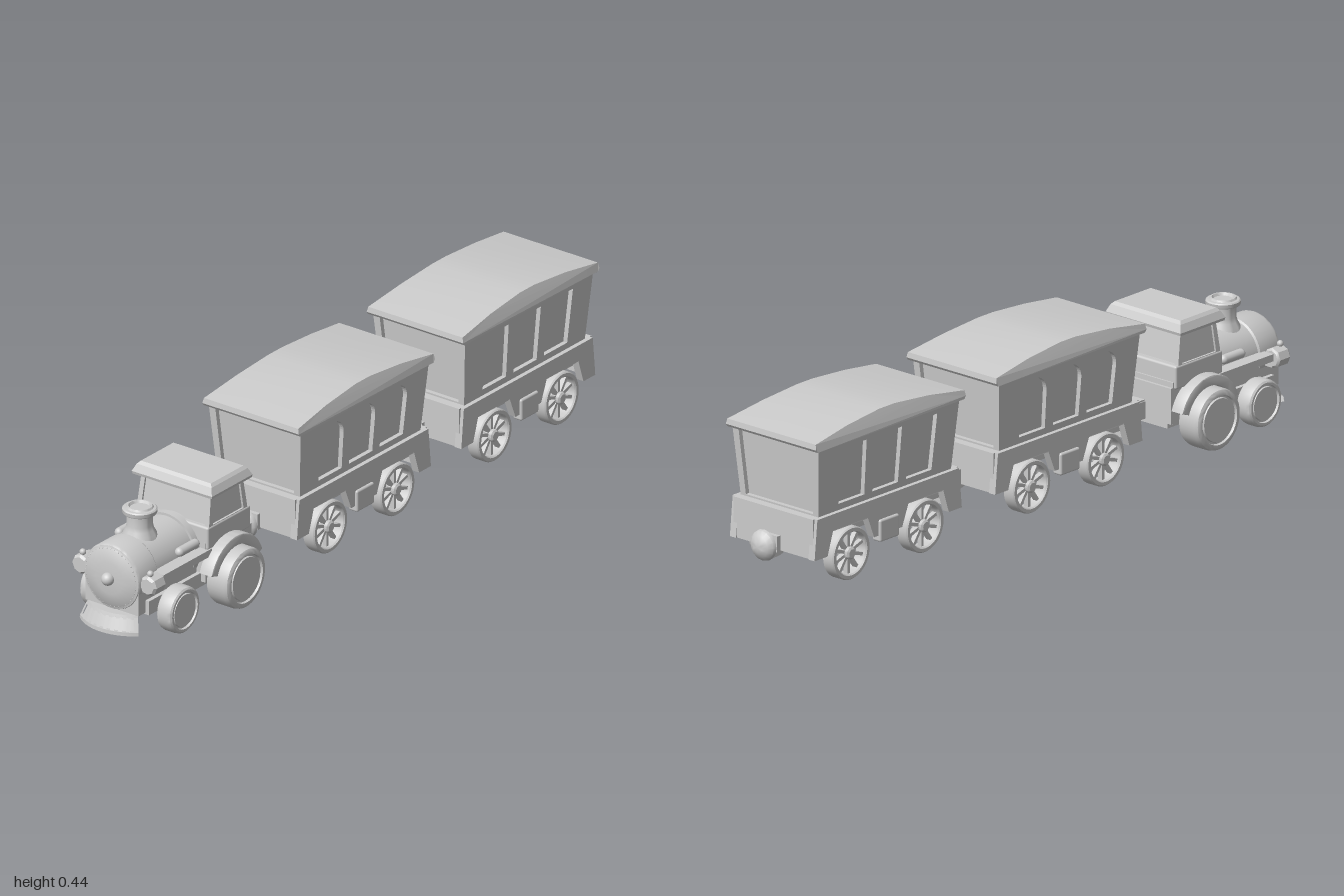
import * as THREE from 'three';
import { toCreasedNormals } from 'three/addons/utils/BufferGeometryUtils.js';
import { RoundedBoxGeometry } from 'three/addons/geometries/RoundedBoxGeometry.js';

const grey = new THREE.MeshStandardMaterial({ color: 0xcccccc, side: THREE.DoubleSide });
const lerp = THREE.MathUtils.lerp;

function add(parent, name, geometry, x = 0, y = 0, z = 0) {
  const mesh = new THREE.Mesh(geometry, grey);
  mesh.name = name;
  mesh.position.set(x, y, z);
  parent.add(mesh);
  return mesh;
}
const box = (w, h, d) => new THREE.BoxGeometry(w, h, d);
const crease = (g, a = 0.6) => toCreasedNormals(g, a);
const lathe = (pts, seg = 32, start = 0, len = Math.PI * 2) =>
  crease(new THREE.LatheGeometry(pts.map(p => new THREE.Vector2(...p)), seg, start, len));
const latheX = (pts, seg) => lathe(pts, seg).rotateZ(-Math.PI / 2);
const latheZ = (pts, seg) => lathe(pts, seg).rotateX(Math.PI / 2);
const polygon = pts => new THREE.Shape(pts.map(p => new THREE.Vector2(...p)));

// Box whose top half-sizes differ from its bottom ones
function frustum(x0, z0, x1, z1, y0, y1) {
  const g = box(2, y1 - y0, 2).translate(0, (y0 + y1) / 2, 0), p = g.attributes.position;
  for (let i = 0; i < p.count; i++) {
    const top = p.getY(i) > (y0 + y1) / 2;
    p.setX(i, p.getX(i) * (top ? x1 : x0));
    p.setZ(i, p.getZ(i) * (top ? z1 : z0));
  }
  g.computeVertexNormals();
  return g;
}

// Window opening, optionally round-headed
function opening(cx, w, y0, y1, arched) {
  const h = new THREE.Path(), r = w / 2;
  h.moveTo(cx - r, y0).lineTo(cx + r, y0);
  if (arched) h.lineTo(cx + r, y1 - r).absarc(cx, y1 - r, r, 0, Math.PI, false);
  else h.lineTo(cx + r, y1).lineTo(cx - r, y1);
  h.closePath();
  return h;
}

// Leaning wall with openings, facing +z
function wall(w0, w1, out0, out1, y0, y1, holes, t) {
  const s = polygon([[-w0, y0], [w0, y0], [w0, y1], [-w0, y1]]);
  s.holes = holes;
  const g = new THREE.ExtrudeGeometry(s, { depth: t, bevelEnabled: false, curveSegments: 10 });
  const p = g.attributes.position;
  for (let i = 0; i < p.count; i++) {
    const f = (p.getY(i) - y0) / (y1 - y0);
    p.setX(i, p.getX(i) * lerp(1, w1 / w0, f));
    p.setZ(i, p.getZ(i) - t + lerp(out0, out1, f));
  }
  g.computeVertexNormals();
  return g;
}

// Four framed walls around recessed panes
function cabin(parent, [x0, z0], [x1, z1], y0, y1, sideHoles, endHoles, t) {
  add(parent, 'panes', frustum(x0 - t, z0 - t, x1 - t, z1 - t, y0, y1));
  for (const k of [0, 1]) {
    add(parent, 'sideWall', wall(z0, z1, x0, x1, y0, y1, sideHoles(), t)).rotation.y = Math.PI * (k + 0.5);
    add(parent, 'endWall', wall(x0, x1, z0, z1, y0, y1, endHoles(), t)).rotation.y = Math.PI * k;
  }
}

// Mushroom-headed coupler pointing along dir
function coupler(parent, z, dir) {
  const g = new THREE.Group();
  g.name = 'coupler';
  add(g, 'couplerMount', box(0.05, 0.045, 0.024), 0, 0, 0.006);
  add(g, 'couplerHead', latheZ([[0.012, 0], [0.012, 0.044], [0.043, 0.041], [0.041, 0.05],
    [0.03, 0.061], [0.015, 0.068], [0, 0.07]], 16));
  g.position.set(0, 0.107, z);
  if (dir < 0) g.rotation.y = Math.PI;
  parent.add(g);
}

function spokedWheel(parent, side, z) {
  const g = new THREE.Group();
  g.name = 'spokedWheel';
  add(g, 'rim', latheX([[0.073, -0.018], [0.073, 0.014], [0.07, 0.018], [0.061, 0.018], [0.058, 0.014],
    [0.058, -0.018], [0.073, -0.018]], 36));
  add(g, 'hub', latheX([[0, -0.018], [0.017, -0.018], [0.017, 0.016], [0.012, 0.02], [0, 0.02]], 16));
  for (let i = 0; i < 5; i++)
    add(g, 'spoke', box(0.014, 0.12, 0.009)).rotation.x = i * Math.PI / 5;
  g.position.set(side * 0.134, 0.073, z);
  if (side < 0) g.rotation.y = Math.PI;
  parent.add(g);
}

function carriage(name, z, arched) {
  const g = new THREE.Group();
  g.name = name;
  g.position.z = z;
  cabin(g, [0.137, 0.26], [0.153, 0.277], 0.195, 0.4,
    () => [-0.131, 0, 0.131].map(c => opening(c, 0.1, 0.218, 0.375, arched)),
    () => [opening(0, 0.236, 0.205, 0.39)], 0.013);
  // Roof arched along the carriage, narrowing towards the crown
  const arch = [[0.288, 0.392], [0.294, 0.4], [0.292, 0.415], [0.16, 0.434], [0.03, 0.445]];
  const roof = new THREE.ExtrudeGeometry(polygon([...arch, ...arch.map(([a, b]) => [-a, b]).reverse()]),
    { depth: 0.32, bevelEnabled: false }).translate(0, 0, -0.16).rotateY(Math.PI / 2);
  const p = roof.attributes.position;
  for (let i = 0; i < p.count; i++)
    p.setX(i, p.getX(i) * (1 - 0.09 * Math.max(0, (p.getY(i) - 0.405) / 0.04)));
  add(g, 'roof', crease(roof.toNonIndexed(), 0.1));
  // Chassis with side skirts cut out over the wheels
  add(g, 'chassis', frustum(0.148, 0.283, 0.145, 0.276, 0.152, 0.2));
  add(g, 'underframe', box(0.2, 0.045, 0.54), 0, 0.135, 0);
  const half = [[0.278, 0.2], [0.289, 0.088], [0.238, 0.088], [0.216, 0.155], [0.08, 0.155], [0.055, 0.094]];
  const skirt = polygon([...half, ...half.map(([a, b]) => [-a, b]).reverse()]);
  for (const s of [-1, 1]) {
    const geo = new THREE.ExtrudeGeometry(skirt, { depth: 0.022, bevelEnabled: false });
    add(g, 'skirt', geo.translate(0, 0, -0.011).rotateY(Math.PI / 2), s * 0.139, 0, 0);
    add(g, 'sideBox', new RoundedBoxGeometry(0.03, 0.062, 0.076, 2, 0.006), s * 0.142, 0.107, 0);
    add(g, 'endBeam', box(0.28, 0.112, 0.014), 0, 0.144, s * 0.278);
    for (const w of [-0.145, 0.145]) spokedWheel(g, s, w);
    add(g, 'axle', new THREE.CylinderGeometry(0.012, 0.012, 0.25, 12).rotateZ(Math.PI / 2), 0, 0.073, s * 0.145);
    coupler(g, s * 0.279, s);
  }
  return g;
}

// Solid rounded tyre with a recessed disc
function engineWheel(parent, name, side, r, x, w, z) {
  const h = w / 2;
  const m = add(parent, name, latheX([[0, -h], [r * 0.9, -h], [r * 0.97, -h + 0.004], [r, -h + 0.012],
    [r, h - 0.014], [r * 0.97, h - 0.004], [r * 0.9, h], [r * 0.8, h], [r * 0.78, h - 0.007],
    [r * 0.72, h - 0.007], [r * 0.7, h - 0.002], [0, h - 0.002]], 40), side * x, r, z);
  if (side < 0) m.rotation.y = Math.PI;
}

function locomotive() {
  const g = new THREE.Group();
  g.name = 'locomotive';
  // Boiler with banded shell and domed front
  add(g, 'boiler', latheZ([[0, 0.68], [0.089, 0.68], [0.089, 0.87], [0.093, 0.875], [0.093, 0.945], [0.09, 0.953],
    [0.084, 0.954], [0.08, 0.957], [0.045, 0.963], [0, 0.965]], 48)).position.y = 0.165;
  add(g, 'boilerBand', latheZ([[0.08, 0.695], [0.096, 0.695], [0.096, 0.715], [0.08, 0.715]], 48)).position.y = 0.165;
  add(g, 'frontKnob', new THREE.SphereGeometry(0.018, 20, 14), 0, 0.165, 0.968);
  for (let i = 0; i < 40; i++) {
    const a = i * Math.PI / 20;
    add(g, 'rivet', new THREE.SphereGeometry(0.0018, 6, 4), 0.0825 * Math.cos(a), 0.165 + 0.0825 * Math.sin(a), 0.955);
  }
  add(g, 'chimney', lathe([[0.05, 0.232], [0.045, 0.25], [0.038, 0.263], [0.035, 0.275], [0.035, 0.305], [0.045, 0.308],
    [0.047, 0.312], [0.047, 0.32], [0.044, 0.323], [0.037, 0.324], [0.034, 0.329], [0.03, 0.329], [0.026, 0.322],
    [0, 0.322]], 32), 0, 0, 0.83);
  // Frame under the boiler and running boards
  add(g, 'frame', box(0.176, 0.085, 0.25), 0, 0.117, 0.825);
  add(g, 'floorPlate', box(0.2, 0.04, 0.42), 0, 0.09, 0.71);
  add(g, 'rearFrame', box(0.23, 0.115, 0.19), 0, 0.142, 0.6);
  add(g, 'runningBoard', box(0.25, 0.02, 0.21), 0, 0.172, 0.785);
  // Cab
  add(g, 'cabBase', new RoundedBoxGeometry(0.244, 0.065, 0.185, 2, 0.006), 0, 0.212, 0.602);
  const cab = new THREE.Group();
  cab.name = 'cab';
  cab.position.z = 0.604;
  cabin(cab, [0.12, 0.084], [0.115, 0.068], 0.235, 0.336,
    () => [opening(0, 0.135, 0.245, 0.328)], () => [opening(0, 0.212, 0.245, 0.328)], 0.006);
  add(cab, 'cabRoofEdge', frustum(0.131, 0.086, 0.133, 0.088, 0.33, 0.338));
  add(cab, 'cabRoof', frustum(0.133, 0.088, 0.124, 0.078, 0.338, 0.358));
  add(cab, 'cabRoofTop', frustum(0.124, 0.078, 0.116, 0.07, 0.358, 0.366));
  g.add(cab);
  add(g, 'rearBeam', box(0.23, 0.1, 0.02), 0, 0.135, 0.507);
  add(g, 'drawbarBlock', box(0.045, 0.054, 0.03), 0, 0.107, 0.49);
  coupler(g, 0.495, -1);
  for (const s of [-1, 1]) {
    engineWheel(g, 'rearWheel', s, 0.085, 0.15, 0.074, 0.61);
    engineWheel(g, 'frontWheel', s, 0.065, 0.1275, 0.05, 0.83);
    // Mudguard arched over the rear wheel
    const arc = new THREE.Shape().absarc(0, 0, 0.113, 0.35, Math.PI - 0.35, false);
    arc.absarc(0, 0, 0.09, Math.PI - 0.35, 0.35, true);
    const guard = new THREE.ExtrudeGeometry(arc, { depth: 0.036, bevelEnabled: true, bevelSize: 0.003,
      bevelThickness: 0.003, bevelSegments: 2, curveSegments: 20 });
    add(g, 'mudguard', crease(guard.translate(0, 0, -0.018).rotateY(Math.PI / 2)), s * 0.133, 0.085, 0.61);
    // Side tank, steam cylinder and front lamp
    add(g, 'sideTank', new THREE.CapsuleGeometry(0.013, 0.065, 6, 14).rotateX(Math.PI / 2), s * 0.1, 0.205, 0.755);
    add(g, 'steamCylinder', latheZ([[0, -0.025], [0.022, -0.025], [0.028, -0.02], [0.028, 0.018], [0.022, 0.025],
      [0, 0.025]], 8), s * 0.112, 0.165, 0.92);
    add(g, 'cylinderBracket', box(0.05, 0.04, 0.04), s * 0.09, 0.16, 0.915);
    add(g, 'lamp', new THREE.SphereGeometry(0.009, 12, 8), s * 0.112, 0.198, 0.93);
  }
  for (const [y, z] of [[0.085, 0.61], [0.065, 0.83]])
    add(g, 'axle', new THREE.CylinderGeometry(0.014, 0.014, 0.22, 12).rotateZ(Math.PI / 2), 0, y, z);
  // Curved cowcatcher: rails, backing and bars
  const cow = new THREE.Group(), a = 0.74;
  cow.name = 'cowcatcher';
  cow.position.z = 0.855;
  const strip = (name, pts, start, len, n) => add(cow, name, lathe(pts, n, start, len));
  strip('backing', [[0.13, 0.026], [0.138, 0.026], [0.118, 0.07], [0.11, 0.07]], -a, 2 * a, 20);
  strip('bottomRail', [[0.13, 0.024], [0.145, 0.024], [0.144, 0.034], [0.13, 0.034]], -a, 2 * a, 20);
  strip('topRail', [[0.085, 0.064], [0.127, 0.064], [0.123, 0.075], [0.085, 0.075]], -a, 2 * a, 20);
  for (let i = 0; i < 10; i++)
    strip('bar', [[0.133, 0.03], [0.144, 0.03], [0.127, 0.068], [0.116, 0.068]], -a + i * (2 * a - 0.08) / 9, 0.08, 2);
  g.add(cow);
  return g;
}

export function createModel() {
  const train = new THREE.Group();
  train.name = 'train';
  train.add(locomotive(), carriage('archedCarriage', 0.058, true), carriage('squareCarriage', -0.651, false));
  return train;
}
